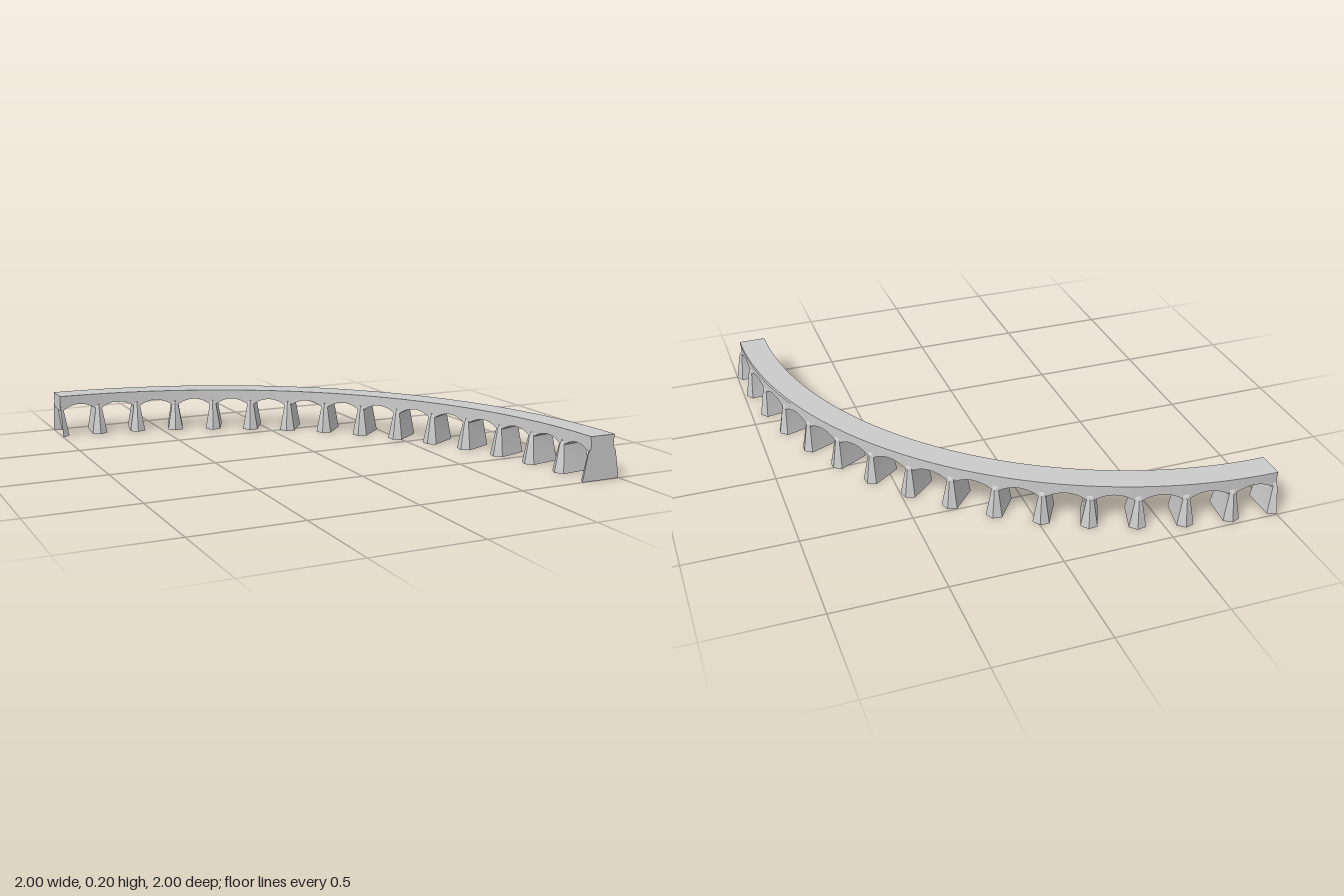
import * as THREE from 'three';
import { toCreasedNormals } from 'three/addons/utils/BufferGeometryUtils.js';

const SPANS = 15;
const STEP = Math.PI / 2 / SPANS;
const STEPS_PER_SPAN = 12;
const SPRING = 0.127, CROWN = 0.155;
const R_IN = 1.845, R_OUT = 1.965, R_MID = 1.905;
const PIER_TOP = 0.016; // half width of a pier where the arch springs
const LEDGE = 0.003, LEDGE_Y = 0.182;

// The piers are open shells, so both sides show
const material = new THREE.MeshStandardMaterial({ color: 0xcccccc, side: THREE.DoubleSide });

// Point at radius r, height y, shifted t along the tangent, at angle a of the quarter circle
function place(r, y, a, t = 0) {
  return new THREE.Vector3(
    -1 + r * Math.sin(a) + t * Math.cos(a), y, 1 - r * Math.cos(a) + t * Math.sin(a));
}

function tri(out, a, b, c, flip) {
  for (const p of flip ? [a, c, b] : [a, b, c]) out.push(p.x, p.y, p.z);
}

// Skin over rows of points
function skin(out, rows, flip, closed) {
  for (let j = 0; j + 1 < rows.length; j++) {
    const n = rows[j].length;
    for (let i = 0; i < (closed ? n : n - 1); i++) {
      const k = (i + 1) % n;
      tri(out, rows[j][i], rows[j + 1][i], rows[j + 1][k], flip);
      tri(out, rows[j][i], rows[j + 1][k], rows[j][k], flip);
    }
  }
}

// Flat end face fanned from a centre point
function fan(out, centre, ring, flip) {
  ring.forEach((p, i) => tri(out, centre, p, ring[(i + 1) % ring.length], flip));
}

function makeMesh(name, positions) {
  const g = new THREE.BufferGeometry();
  g.setAttribute('position', new THREE.Float32BufferAttribute(positions, 3));
  const mesh = new THREE.Mesh(toCreasedNormals(g, 0.45), material);
  mesh.name = name;
  return mesh;
}

// Curved deck: section with thin ledges, its underside rising in an arch over each span
function makeDeck() {
  const section = (a, under) => [
    [R_OUT + LEDGE, 0.2], [R_OUT + LEDGE, LEDGE_Y], [R_OUT, LEDGE_Y], [R_OUT, under],
    [R_IN, under], [R_IN, LEDGE_Y], [R_IN - LEDGE, LEDGE_Y], [R_IN - LEDGE, 0.2],
  ].map(([r, y]) => place(r, y, a));
  const edge = PIER_TOP / R_MID;
  const rows = [section(0, SPRING)];
  for (let s = 0; s < SPANS; s++) {
    for (let k = 0; k <= STEPS_PER_SPAN; k++) {
      const u = k / STEPS_PER_SPAN;
      const a = s * STEP + edge + u * (STEP - 2 * edge);
      rows.push(section(a, SPRING + (CROWN - SPRING) * (1 - (2 * u - 1) ** 2)));
    }
  }
  rows.push(section(Math.PI / 2, SPRING));
  const out = [];
  skin(out, rows, false, true);
  fan(out, place(R_MID, 0.19, 0), rows[0], false);
  fan(out, place(R_MID, 0.19, Math.PI / 2), rows[rows.length - 1], true);
  return makeMesh('deck', out);
}

// Pier levels: height, half width, outer tip, outer shoulder, inner shoulder, inner tip
const LEVELS = [
  [0, 0.037, 2.0, 1.98, 1.829, 1.807],
  [0.127, PIER_TOP, 1.978, 1.968, 1.842, 1.832],
  [0.15, PIER_TOP, 1.964, 1.962, 1.848, 1.846],
];

// Tapered hollow pier with pointed cutwaters; the end piers are halves
function makePier(i) {
  const a = i * STEP;
  const out = [];
  for (const side of [-1, 1]) {
    if ((i === 0 && side < 0) || (i === SPANS && side > 0)) continue;
    const rows = LEVELS.map(([y, w, o, os, is, inn]) => [
      place(o, y, a), place(os, y, a, side * w), place(is, y, a, side * w), place(inn, y, a)]);
    skin(out, rows, side < 0, false);
  }
  // Closed face at the front end
  if (i === SPANS) {
    const outline = [
      ...LEVELS.map((l) => place(l[2], l[0], a)).reverse(),
      ...LEVELS.map((l) => place(l[5], l[0], a)),
    ];
    fan(out, place(R_MID, 0.08, a), outline, true);
  }
  return makeMesh('pier', out);
}

export function createModel() {
  const model = new THREE.Group();
  model.name = 'curvedViaduct';
  model.add(makeDeck());
  const piers = new THREE.Group();
  piers.name = 'piers';
  for (let i = 0; i <= SPANS; i++) piers.add(makePier(i));
  model.add(piers);
  return model;
}
